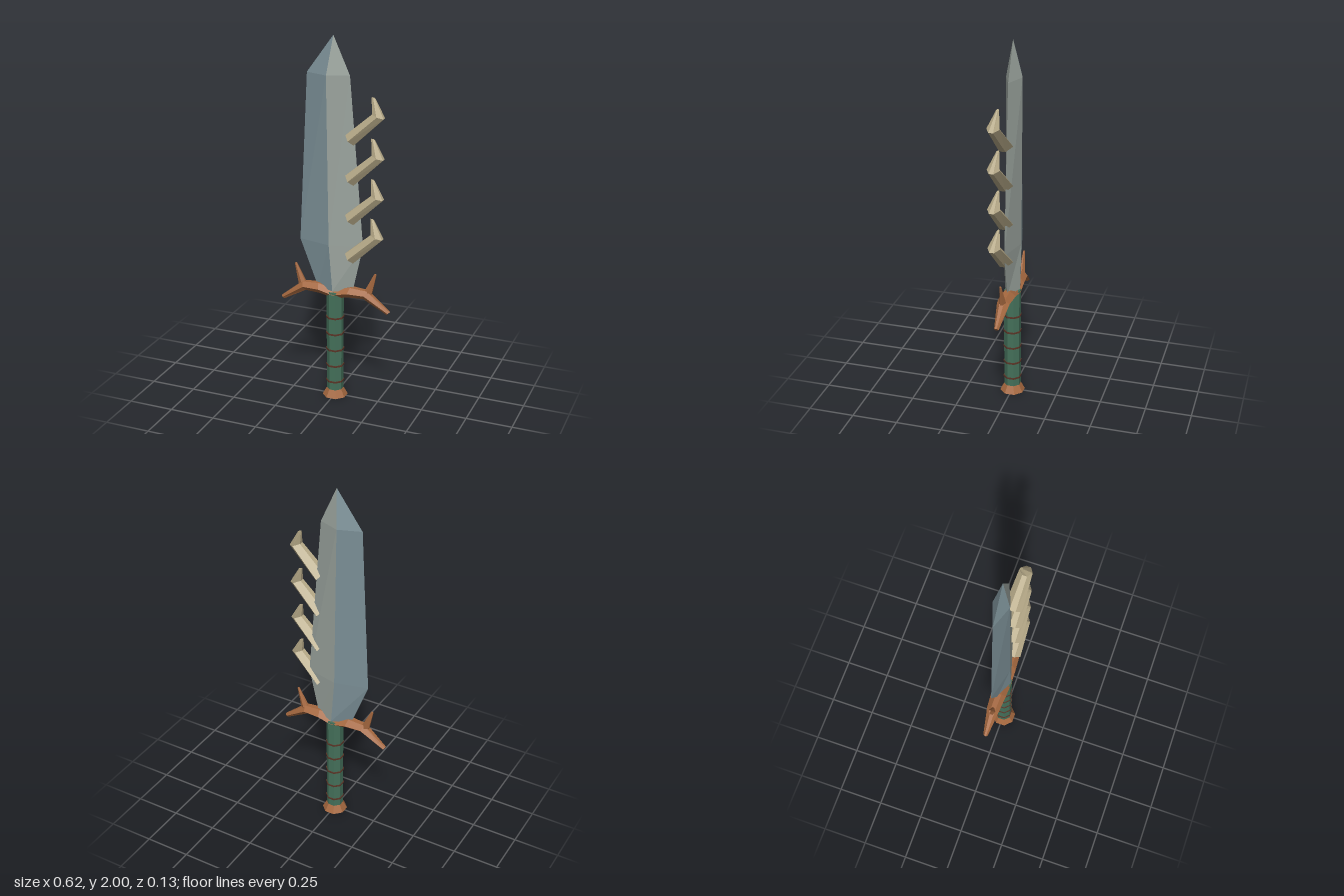
import * as THREE from 'three';

const mat = (color) => new THREE.MeshStandardMaterial({ color, flatShading: true, side: THREE.DoubleSide });
const bronze = mat(0xa5683f), bone = mat(0xb8ab89), green = mat(0x44705a), cord = mat(0x5a3527);
const steelDark = mat(0x7b8f96), steelLight = mat(0x9aa39d);

// Skin a list of cross-sections; closed sections also get end caps.
function loft(rings, closed = true) {
  const pos = [], n = rings[0].length;
  const tri = (...p) => p.forEach((q) => pos.push(...q));
  for (let k = 0; k < rings.length - 1; k++) {
    for (let i = 0; i < (closed ? n : n - 1); i++) {
      const j = (i + 1) % n;
      tri(rings[k][i], rings[k][j], rings[k + 1][j]);
      tri(rings[k][i], rings[k + 1][j], rings[k + 1][i]);
    }
  }
  if (closed) {
    const a = rings[0], b = rings[rings.length - 1];
    for (let i = 1; i < n - 1; i++) {
      tri(a[0], a[i + 1], a[i]);
      tri(b[0], b[i], b[i + 1]);
    }
  }
  const g = new THREE.BufferGeometry();
  g.setAttribute('position', new THREE.Float32BufferAttribute(pos, 3));
  g.computeVertexNormals();
  return g;
}

// Hexagon whose flat width runs from (x0,y0) to (x1,y1), with its points at z = z0 and z1.
function hexSection(x0, y0, x1, y1, z0, z1) {
  const mx = (x0 + x1) / 2, my = (y0 + y1) / 2;
  const a = z0 + (z1 - z0) * 0.36, b = z0 + (z1 - z0) * 0.72;
  return [[mx, my, z0], [x0, y0, a], [x0, y0, b], [mx, my, z1], [x1, y1, b], [x1, y1, a]];
}

export function createModel() {
  const group = new THREE.Group();
  const add = (name, geometry, material, y = 0) => {
    const m = new THREE.Mesh(geometry, material);
    m.name = name;
    m.position.y = y;
    group.add(m);
    return m;
  };

  // Blade: [y, back edge x, ridge x, toothed edge x, half thickness]
  const blade = [
    [0.63, -0.1, 0, 0.1, 0.042],
    [0.89, -0.2, -0.02, 0.157, 0.043],
    [1.8, -0.155, -0.033, 0.08, 0.043],
    [2, -0.01, -0.01, -0.01, 0],
  ];
  add('bladeToothedHalf', loft(blade.map(([y, , c, r, t]) => [[c, y, t], [r, y, 0], [c, y, -t]]), false), steelLight);
  add('bladeBackHalf', loft(blade.map(([y, l, c, , t]) => [[c, y, -t], [l, y, 0], [c, y, t]]), false), steelDark);

  // Hooked teeth along one edge
  const tooth = loft([
    hexSection(0.07, 1.5, 0.115, 1.45, -0.03, 0.063),
    hexSection(0.215, 1.625, 0.277, 1.605, -0.005, 0.063),
    hexSection(0.203, 1.705, 0.222, 1.698, 0.007, 0.023),
  ]);
  for (let i = 0; i < 4; i++) add('tooth' + (i + 1), tooth, bone, -0.215 * i);

  // Crossguard: [x, top x, top y, bottom x, bottom y, half depth]
  const half = [
    [0.09, 0.655, 0.075, 0.598, 0.042],
    [0.185, 0.648, 0.165, 0.602, 0.035],
    [0.312, 0.545, 0.296, 0.527, 0.013],
  ];
  const arm = (s) => half.map(([tx, ty, bx, by, d]) => hexSection(s * tx, ty, s * bx, by, -d, d));
  const centre = hexSection(0, 0.635, 0, 0.58, -0.044, 0.044);
  add('crossguard', loft([...arm(-1).reverse(), centre, ...arm(1)]), bronze);

  // Upright horns on the guard
  for (const s of [-1, 1]) {
    const ends = [[0.16, 0.625, 0.207, 0.622, 0.02], [0.222, 0.748, 0.234, 0.745, 0.005]];
    const rings = ends.map(([a, ya, b, yb, d]) => (s > 0
      ? hexSection(a, ya, b, yb, -d, d)
      : hexSection(-b, yb, -a, ya, -d, d)));
    add(s > 0 ? 'leftHorn' : 'rightHorn', loft(rings), bronze);
  }

  // Grip, cord rings and pommel share an eight-sided section
  const drum = (rTop, rBottom, h) => new THREE.CylinderGeometry(rTop, rBottom, h, 8).rotateY(Math.PI / 8);
  add('grip', drum(0.046, 0.046, 0.58), green, 0.33);
  for (let i = 0; i < 5; i++) add('gripRing' + (i + 1), drum(0.05, 0.05, 0.009), cord, 0.09 + 0.095 * i);
  add('pommel', drum(0.046, 0.069, 0.042), bronze, 0.021);

  return group;
}
